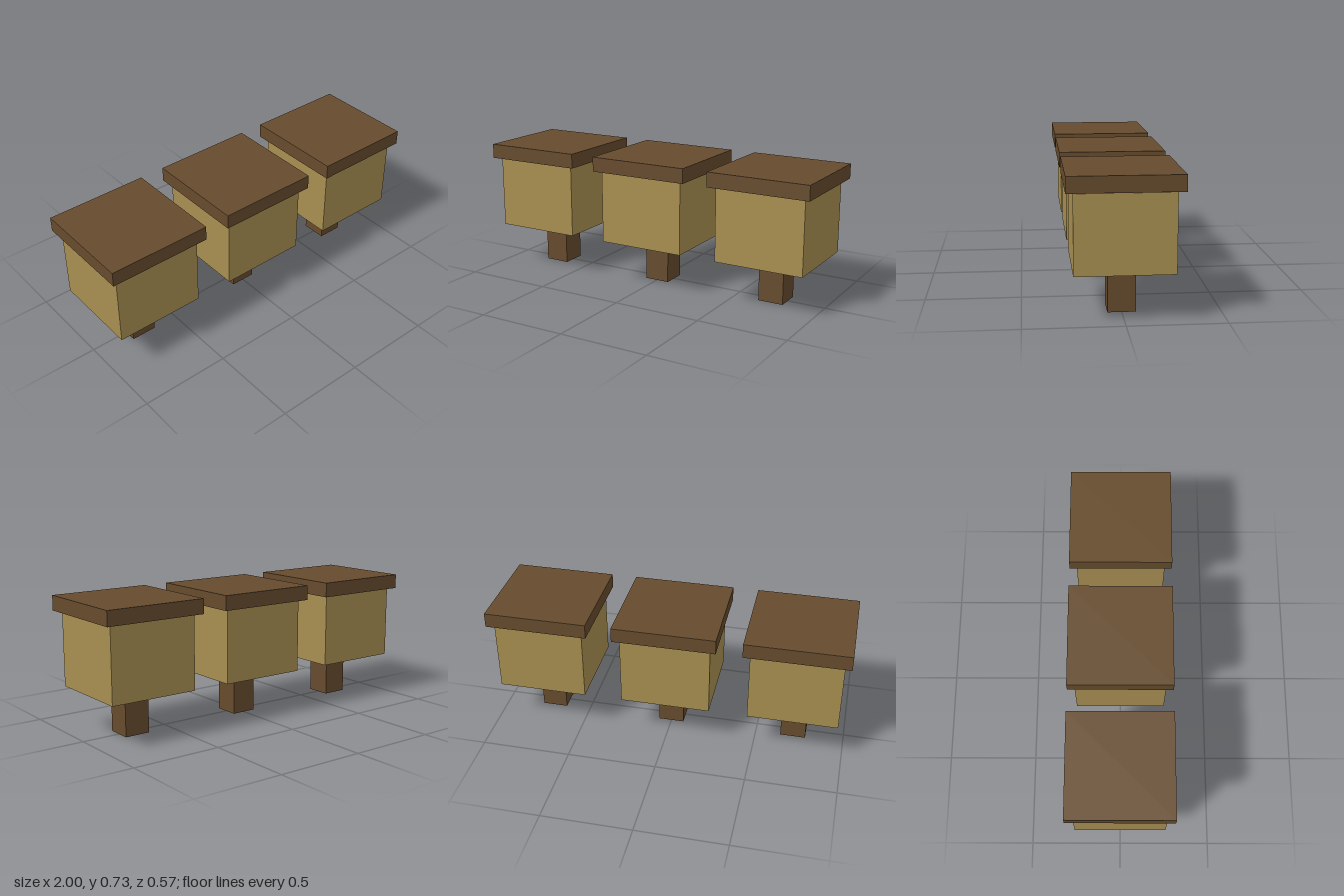
import * as THREE from 'three';

export function createModel() {
  const model = new THREE.Group();
  const darkWood = new THREE.MeshStandardMaterial({ color: 0x664b2d });
  darkWood.name = 'darkWood';
  const paleWood = new THREE.MeshStandardMaterial({ color: 0xa88f51 });
  paleWood.name = 'paleWood';

  // Square block between two heights
  function block(name, width, bottom, top, material) {
    const mesh = new THREE.Mesh(new THREE.BoxGeometry(width, top - bottom, width), material);
    mesh.name = name;
    mesh.position.y = (bottom + top) / 2;
    return mesh;
  }

  // Three identical boxes on posts, in a row
  ['right', 'middle', 'left'].forEach((side, i) => {
    const hive = new THREE.Group();
    hive.name = side + 'Box';
    hive.position.x = (i - 1) * 0.7143;
    hive.add(
      block('post', 0.143, 0, 0.24, darkWood),
      block('body', 0.5, 0.24, 0.643, paleWood),
      block('lid', 0.5714, 0.651, 0.733, darkWood), // lid floats just above the body
    );
    model.add(hive);
  });

  return model;
}
